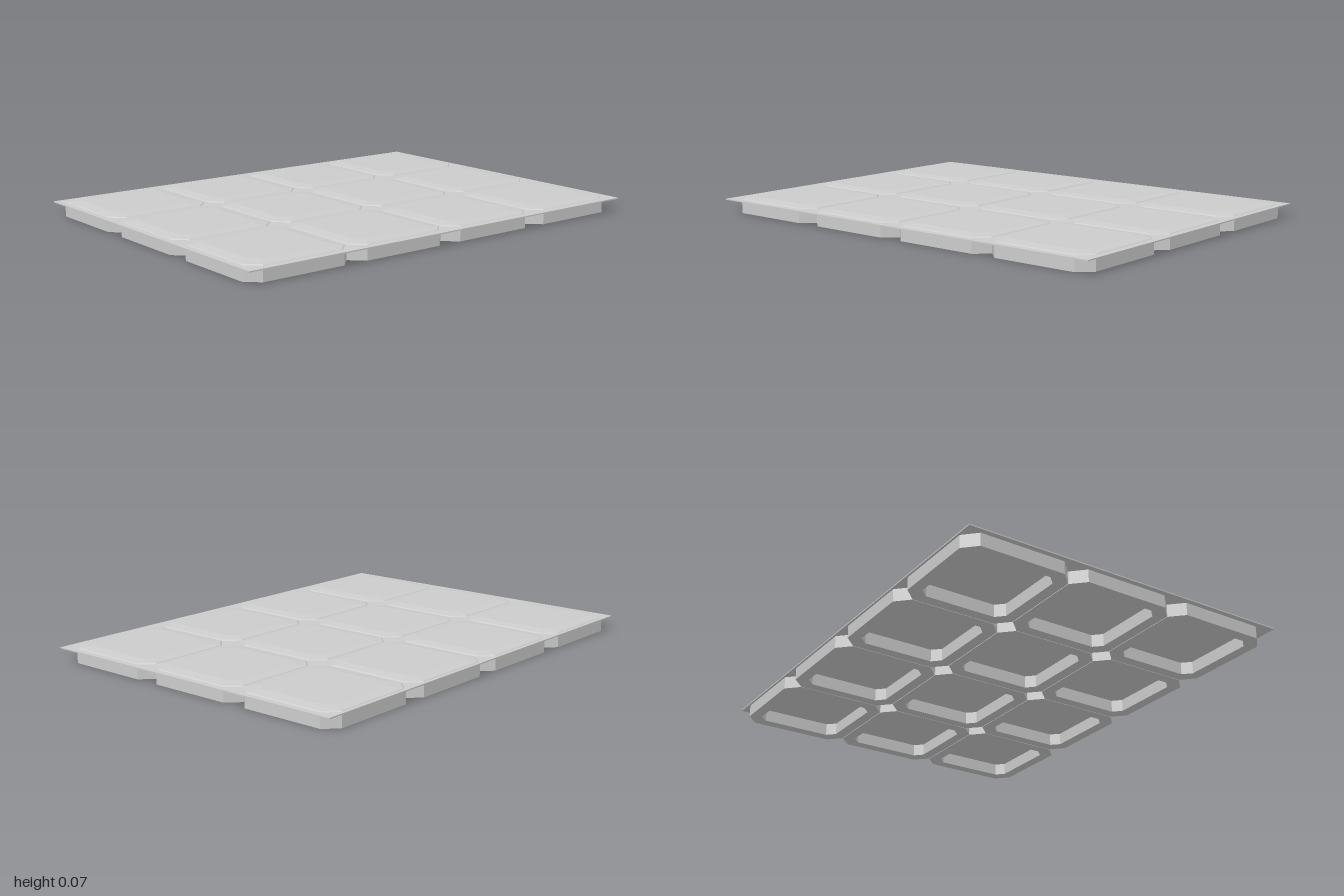
import * as THREE from 'three';

const material = new THREE.MeshStandardMaterial({ color: 0xcccccc, flatShading: true });

// Square with cut corners: half width h, corner cut c, counter-clockwise
function octagon(h, c) {
  const k = h - c;
  return [[h, -k], [h, k], [k, h], [-k, h], [-h, k], [-h, -k], [-k, -h], [k, -h]]
    .map(([x, y]) => new THREE.Vector2(x, y));
}

// Stacked octagons [half width, corner cut, height] joined by walls and closed on top
function panelGeometry(sections) {
  const rings = sections.map(([h, c, y]) => octagon(h, c).map((p) => [p.x, y, -p.y]));
  const pos = [];
  for (let r = 0; r < rings.length - 1; r++) {
    for (let i = 0; i < 8; i++) {
      const j = (i + 1) % 8;
      const a = rings[r][i], b = rings[r][j], c = rings[r + 1][j], d = rings[r + 1][i];
      pos.push(...a, ...b, ...c, ...a, ...c, ...d);
    }
  }
  const top = rings[rings.length - 1];
  for (let i = 1; i < 7; i++) pos.push(...top[0], ...top[i], ...top[i + 1]);
  const g = new THREE.BufferGeometry();
  g.setAttribute('position', new THREE.Float32BufferAttribute(pos, 3));
  g.computeVertexNormals();
  return g;
}

// Octagonal wall, open in the middle, standing under the sheet
function wallGeometry() {
  const shape = new THREE.Shape(octagon(0.243, 0.055));
  shape.holes.push(new THREE.Path(octagon(0.193, 0.035).reverse()));
  const g = new THREE.ExtrudeGeometry(shape, { depth: 0.056, bevelEnabled: false });
  return g.rotateX(-Math.PI / 2);
}

export function createModel() {
  const model = new THREE.Group();
  const add = (name, geometry, x, y, z) => {
    const mesh = new THREE.Mesh(geometry, material);
    mesh.name = name;
    mesh.position.set(x, y, z);
    model.add(mesh);
  };

  // Thin sheet joining all the cells
  add('sheet', new THREE.BoxGeometry(2, 0.005, 1.5), 0, 0.0575, 0);

  // Four by three cells, each a bevelled panel over a hollow wall
  const wall = wallGeometry();
  const panel = panelGeometry([
    [0.24, 0.055, 0.059],
    [0.234, 0.053, 0.064],
    [0.185, 0.035, 0.07],
  ]);
  const pitch = 0.489;
  for (let row = -1; row <= 1; row++) {
    for (let col = -1.5; col <= 1.5; col++) {
      const x = col * pitch, z = row * pitch - 0.009;
      add('cellWall', wall, x, 0, z);
      add('cellPanel', panel, x, 0, z);
    }
  }
  return model;
}
